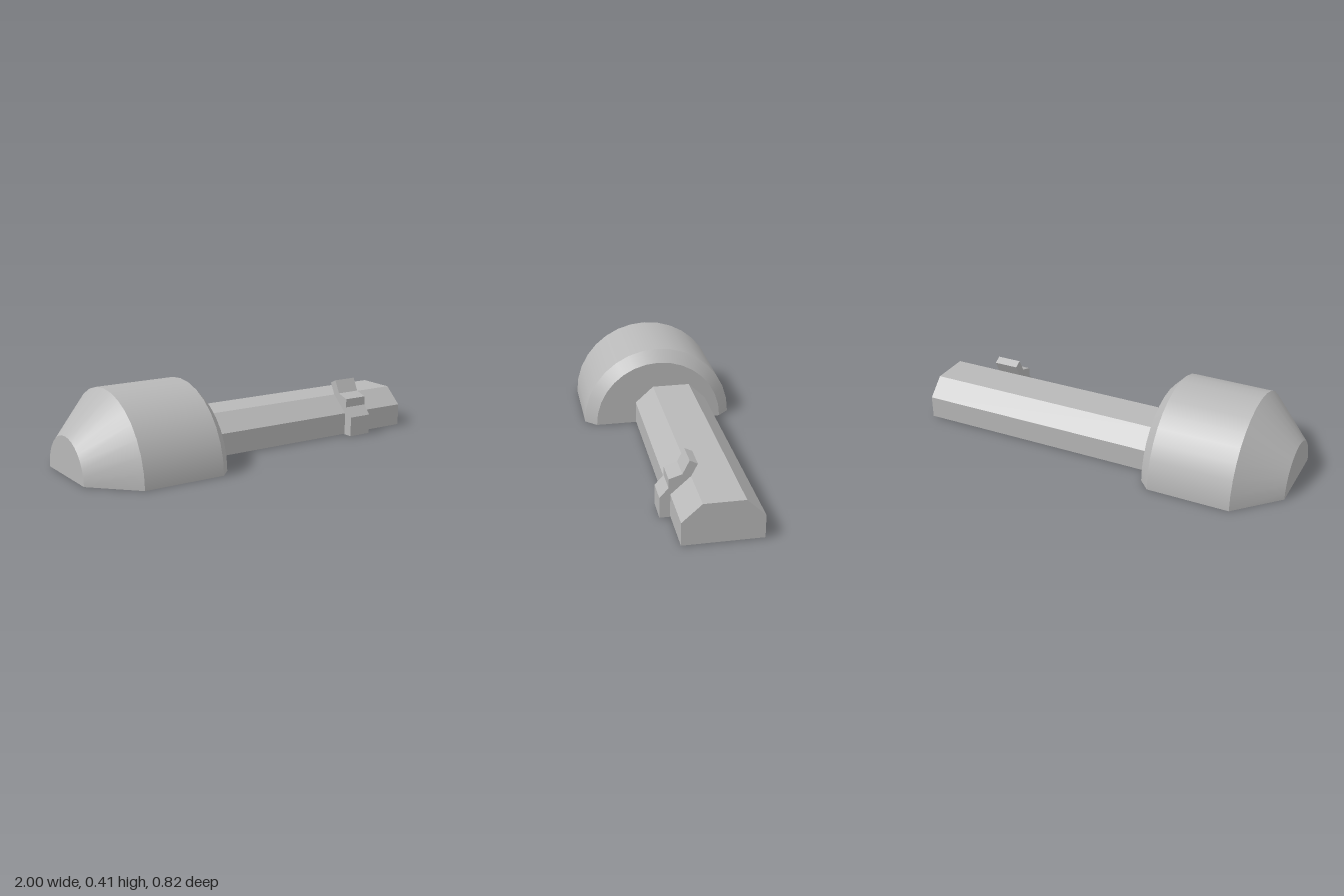
import * as THREE from 'three';
import { mergeGeometries } from 'three/addons/utils/BufferGeometryUtils.js';

// Extrudes a [z, y] cross-section along x from x0 to x1
function prism(section, x0, x1) {
  const shape = new THREE.Shape(section.map(([z, y]) => new THREE.Vector2(-z, y)));
  const geo = new THREE.ExtrudeGeometry(shape, { depth: x1 - x0, bevelEnabled: false });
  return geo.rotateY(Math.PI / 2).translate(x0, 0, 0);
}

// Half turn of a [radius, x] profile about the x axis; each band is separate so edges stay sharp
function halfTurn(profile) {
  const bands = [];
  for (let i = 0; i < profile.length - 1; i++) {
    const pair = [profile[i], profile[i + 1]].map(([r, x]) => new THREE.Vector2(r, x));
    bands.push(new THREE.LatheGeometry(pair, 16, Math.PI, Math.PI).rotateZ(-Math.PI / 2));
  }
  return mergeGeometries(bands);
}

export function createModel() {
  const model = new THREE.Group();
  const grey = new THREE.MeshStandardMaterial({ color: 0xb8b8b8 });
  grey.name = 'plain grey';

  const add = (name, geometry, parent = model) => {
    const mesh = new THREE.Mesh(geometry, grey);
    mesh.name = name;
    parent.add(mesh);
  };

  // Half-round head with tapered end and chamfered shoulder
  const profile = [[0, -1], [0.2, -1], [0.409, -0.79], [0.409, -0.36], [0.349, -0.303], [0, -0.303]];
  const head = new THREE.Group();
  head.name = 'head';
  model.add(head);
  add('headShell', halfTurn(profile), head);

  // Flat underside of the head, mirrored from the profile
  const outline = profile.slice(1, -1);
  const base = [
    ...outline.map(([r, x]) => new THREE.Vector2(x, r)),
    ...outline.map(([r, x]) => new THREE.Vector2(x, -r)).reverse(),
  ];
  add('headBase', new THREE.ShapeGeometry(new THREE.Shape(base)).rotateX(Math.PI / 2), head);

  // Shaft with chamfered top edges
  add('shaft', prism([
    [0.129, 0.003], [0.129, 0.12], [0.031, 0.208],
    [-0.171, 0.208], [-0.263, 0.12], [-0.263, 0.003],
  ], -0.303, 1));

  // Stepped catch hugging the front of the shaft
  add('catch', prism([
    [0.181, 0], [0.181, 0.106], [0.137, 0.155], [0.137, 0.201], [0.072, 0.222],
    [0.038, 0.29], [-0.001, 0.27], [0.031, 0.207], [0.125, 0.119], [0.125, 0],
  ], 0.61, 0.74));

  return model;
}
